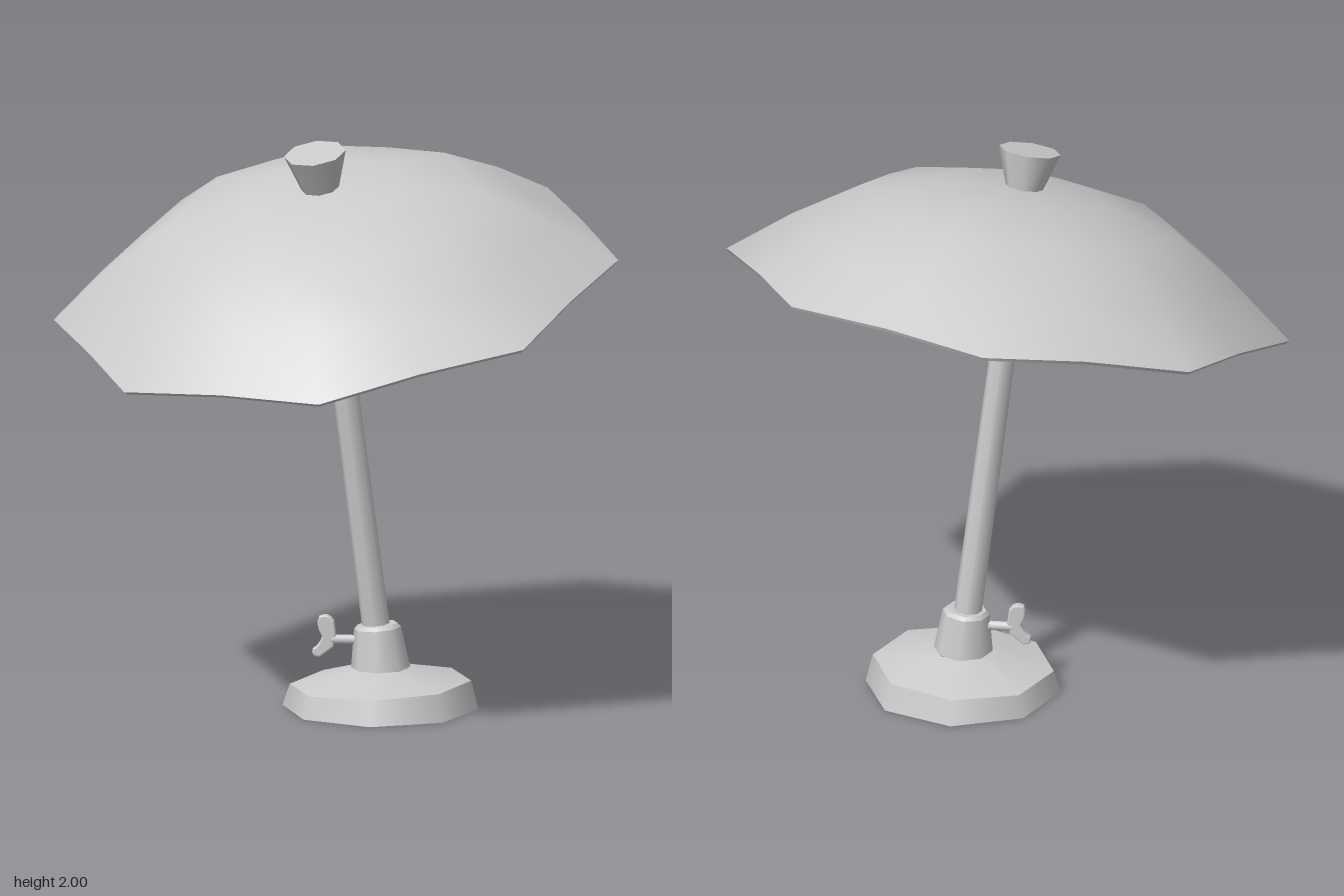
import * as THREE from 'three';
import { mergeVertices, toCreasedNormals } from 'three/addons/utils/BufferGeometryUtils.js';

const UP = new THREE.Vector3(0, 1, 0);
const V = (x, y, z) => new THREE.Vector3(x, y, z);
const material = new THREE.MeshStandardMaterial({ color: 0xcccccc, side: THREE.DoubleSide });

function part(name, geometry) {
  const mesh = new THREE.Mesh(geometry, material);
  mesh.name = name;
  return mesh;
}

// Eight-sided tapered piece between two points
function taper(name, a, b, ra, rb, open = true, sides = 8) {
  const axis = b.clone().sub(a);
  const mesh = part(name, new THREE.CylinderGeometry(rb, ra, axis.length(), sides, 1, open));
  mesh.position.copy(a).lerp(b, 0.5);
  mesh.quaternion.setFromUnitVectors(UP, axis.normalize());
  return mesh;
}

// Octagonal dome: ribs at the even columns, flat and slightly lifted panels between them
function canopyGeometry() {
  const outer = [[0, 0.39], [0.3, 0.37], [0.56, 0.3], [0.78, 0.16], [0.985, 0]];
  const inner = outer.map(([r, y]) => [r * 0.99, y - 0.012]);
  const profile = [...inner, ...outer.reverse()].map(([r, y]) => new THREE.Vector2(r, y));
  let g = new THREE.LatheGeometry(profile, 16);
  const p = g.attributes.position;
  for (let i = 0; i < p.count; i++) {
    const column = Math.floor(i / profile.length);
    if (column % 2 === 0) continue;
    const k = Math.cos(Math.PI / 8), r = Math.hypot(p.getX(i), p.getZ(i));
    p.setXYZ(i, p.getX(i) * k, p.getY(i) + 0.012 * r, p.getZ(i) * k);
  }
  g.deleteAttribute('normal');
  g.deleteAttribute('uv');
  g = mergeVertices(g);
  return toCreasedNormals(g, 0.9);
}

// Butterfly-shaped grip of the clamp screw
function wingGeometry() {
  const s = new THREE.Shape();
  s.moveTo(-0.005, 0.25);
  s.lineTo(-0.012, 0.3);
  s.quadraticCurveTo(-0.03, 0.33, -0.06, 0.315);
  s.quadraticCurveTo(-0.075, 0.29, -0.05, 0.245);
  s.quadraticCurveTo(-0.06, 0.215, -0.083, 0.2);
  s.quadraticCurveTo(-0.09, 0.175, -0.06, 0.175);
  s.lineTo(-0.015, 0.21);
  s.closePath();
  return new THREE.ExtrudeGeometry(s, {
    depth: 0.016, curveSegments: 4, bevelEnabled: true,
    bevelSize: 0.006, bevelThickness: 0.006, bevelOffset: -0.004, bevelSegments: 2,
  });
}

export function createModel() {
  const model = new THREE.Group();
  model.name = 'beachUmbrella';

  // Hollow foot, its upper rim sloping a little sideways
  const foot = new THREE.Group();
  foot.name = 'foot';
  const rim = taper('footRim', V(0.15, 0, -0.04), V(0.15, 0.087, -0.04), 0.34, 0.315);
  const cover = taper('footCover', V(0.15, 0.087, -0.04), V(0.15, 0.14, -0.04), 0.315, 0.1);
  for (const [mesh, sign] of [[rim, 1], [cover, -1]]) {
    const p = mesh.geometry.attributes.position;
    for (let i = 0; i < p.count; i++) {
      if (p.getY(i) * sign > 0) p.setY(i, p.getY(i) + 0.04 * p.getX(i));
    }
  }
  foot.add(rim, cover);
  model.add(foot);

  // Collar, pole and clamp screw
  model.add(
    taper('collar', V(0.15, 0.138, -0.04), V(0.14, 0.28, -0.04), 0.103, 0.082),
    taper('collarLip', V(0.14, 0.28, -0.04), V(0.139, 0.293, -0.04), 0.082, 0.07, false),
    taper('pole', V(0.152, 0.13, -0.055), V(-0.048, 1.85, 0.083), 0.049, 0.042, false),
    taper('screwStem', V(0.1, 0.235, -0.04), V(-0.02, 0.235, -0.04), 0.017, 0.017, false),
  );
  const wing = part('screwWing', wingGeometry());
  wing.position.z = -0.048;
  model.add(wing);

  // Canopy and top knob share one tilted axis
  const head = new THREE.Group();
  head.name = 'head';
  head.position.set(0, 1.475, 0);
  head.quaternion.setFromUnitVectors(UP, V(-0.123, 1, 0.213).normalize());
  head.rotateY(0.03);
  head.add(
    part('canopy', canopyGeometry()),
    taper('knob', V(0, 0.375, 0), V(0, 0.518, 0), 0.062, 0.108, false),
  );
  model.add(head);
  return model;
}
